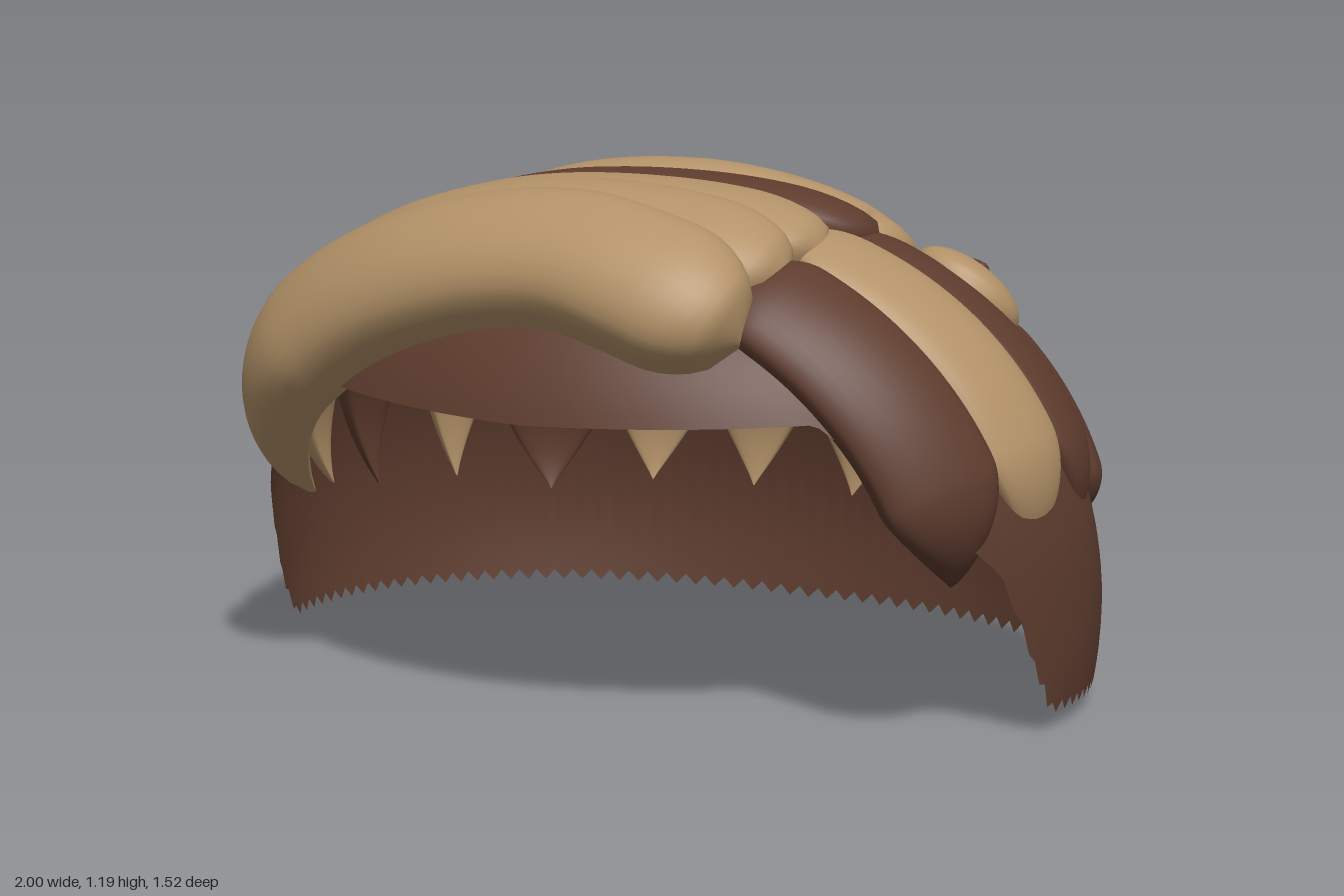
import * as THREE from 'three';

const N = 2.3, RZ = 0.76, H = 0.86, CY = 0.3, LEAN = 0.16;

// Level of the skull dome at a point: 1 on its surface
function level(p) {
  const u = (p.y - CY) / H;
  const rho = Math.hypot(p.x, (p.z - LEAN * Math.max(u, 0)) / RZ);
  return Math.pow(Math.pow(rho, N) + Math.pow(Math.abs(u), N), 1 / N);
}

// Push a point radially on to the dome
function onDome(p) {
  const k = 1 / level(p);
  return new THREE.Vector3(p.x * k, CY + (p.y - CY) * k, p.z * k);
}

function domeNormal(p) {
  const d = 0.01, g = [];
  for (const axis of ['x', 'y', 'z']) {
    const a = p.clone(), b = p.clone();
    a[axis] += d;
    b[axis] -= d;
    g.push(level(a) - level(b));
  }
  return new THREE.Vector3(...g).normalize();
}

function gridGeometry(positions, index) {
  const geo = new THREE.BufferGeometry();
  geo.setAttribute('position', new THREE.Float32BufferAttribute(positions, 3));
  geo.setIndex(index);
  geo.computeVertexNormals();
  return geo;
}

// Height of the cap's rim by angle from the front, in degrees
const RIM = [[0, 0.765], [43, 0.785], [66, 0.46], [73, 0.22], [79, 0.1], [180, 0.055]];
function rimHeight(deg) {
  let i = 1;
  while (i < RIM.length - 1 && deg > RIM[i][0]) i++;
  const [a, ya] = RIM[i - 1], [b, yb] = RIM[i];
  return ya + (yb - ya) * (deg - a) / (b - a);
}

// Open dome with a face opening and a finely notched rim
function capGeometry() {
  const cols = 240, rows = 28, pos = [], idx = [];
  for (let i = 0; i < cols; i++) {
    const a = (i / cols) * Math.PI * 2;
    const deg = Math.min(i, cols - i) / cols * 360;
    const y0 = rimHeight(deg) + (deg > 66 && i % 2 ? 0.025 : 0);
    const u0 = (y0 - CY) / H;
    const e0 = Math.asin(Math.sign(u0) * Math.pow(Math.abs(u0), N / 2));
    for (let j = 0; j <= rows; j++) {
      const e = e0 + (Math.PI / 2 - e0) * (j / rows);
      const u = Math.sign(e) * Math.pow(Math.abs(Math.sin(e)), 2 / N);
      const r = Math.pow(Math.max(Math.cos(e), 0), 2 / N);
      pos.push(r * Math.sin(a), CY + H * u, RZ * r * Math.cos(a) + LEAN * Math.max(u, 0));
      if (j < rows) {
        const p = i * (rows + 1) + j, q = ((i + 1) % cols) * (rows + 1) + j;
        idx.push(p, q, p + 1, q, q + 1, p + 1);
      }
    }
  }
  return gridGeometry(pos, idx);
}

// Plump lock of hair lying on the dome, its tip curling in through the cap
function lockGeometry(points, halfWidth, thick) {
  const curve = new THREE.CatmullRomCurve3(points.map(p => onDome(new THREE.Vector3(...p))));
  const rings = 56, sides = 32, pos = [], idx = [];
  for (let i = 0; i <= rings; i++) {
    const s = i / rings;
    const c = onDome(curve.getPointAt(s));
    const n = domeNormal(c);
    const side = n.clone().cross(curve.getTangentAt(s)).normalize();
    const k = Math.max(0, (s - 0.7) / 0.3);
    let size = 1 - Math.pow(k, 1.5);
    if (s < 0.12) size = Math.sqrt(Math.max(1 - Math.pow(1 - s / 0.12, 2), 0));
    size = Math.max(size, 0.01);
    for (let j = 0; j < sides; j++) {
      const t = (j / sides) * Math.PI * 2, sn = Math.sin(t);
      const base = onDome(c.clone().addScaledVector(side, Math.cos(t) * halfWidth * size));
      const depth = sn > 0 ? thick * Math.sqrt(size) : 0.05 * size;
      const bulge = Math.sign(sn) * Math.pow(Math.abs(sn), 0.62) * depth;
      base.addScaledVector(domeNormal(base), bulge - 0.1 * k * k);
      pos.push(base.x, base.y, base.z);
      if (i < rings) {
        const a = i * sides + j, b = i * sides + (j + 1) % sides;
        idx.push(a, b, a + sides, b, b + sides, a + sides);
      }
    }
  }
  return gridGeometry(pos, idx);
}

export function createModel() {
  const light = new THREE.MeshStandardMaterial({ color: 0xb39268 });
  light.name = 'light brown hair';
  const dark = new THREE.MeshStandardMaterial({ color: 0x5e3c2e, side: THREE.DoubleSide });
  dark.name = 'dark brown hair';

  const model = new THREE.Group();
  model.name = 'hairpiece';
  const cap = new THREE.Mesh(capGeometry(), dark);
  cap.name = 'hairCap';
  model.add(cap);

  // Each lock: colour, half width, thickness, path from root to tip
  const sets = {
    // swept across the top and down the model's right side, front to back
    topLock: [
      [light, 0.155, 0.17, [[0.43, 0.94, 0.58], [0.22, 1.04, 0.59], [0, 1.08, 0.57], [-0.4, 0.99, 0.55],
        [-0.66, 0.82, 0.5], [-0.77, 0.64, 0.46], [-0.8, 0.47, 0.42]]],
      [light, 0.15, 0.11, [[0.46, 1.04, 0.42], [0, 1.13, 0.42], [-0.45, 1.04, 0.39],
        [-0.78, 0.8, 0.34], [-0.9, 0.45, 0.28]]],
      [light, 0.15, 0.085, [[0.47, 1.07, 0.25], [0, 1.16, 0.28], [-0.45, 1.06, 0.25],
        [-0.8, 0.8, 0.16], [-0.94, 0.43, 0.09]]],
      [dark, 0.14, 0.08, [[0.48, 1.05, -0.02], [0.25, 1.12, 0.05], [0, 1.15, 0.09], [-0.45, 1.06, 0.05],
        [-0.8, 0.8, -0.05], [-0.94, 0.4, -0.13]]],
      [light, 0.145, 0.115, [[0.45, 0.98, -0.27], [0.33, 1.02, -0.29], [0.18, 1.08, -0.21], [0, 1.1, -0.13],
        [-0.3, 1.08, -0.12], [-0.6, 0.94, -0.22], [-0.77, 0.75, -0.31], [-0.87, 0.4, -0.38]]],
    ],
    // hanging down the back
    backLock: [
      [dark, 0.15, 0.06, [[-0.42, 1.03, -0.2], [-0.54, 0.85, -0.42], [-0.64, 0.6, -0.54], [-0.66, 0.35, -0.57]]],
      [light, 0.15, 0.07, [[-0.2, 1.08, -0.16], [-0.3, 0.95, -0.42], [-0.38, 0.65, -0.64], [-0.4, 0.38, -0.69]]],
      [light, 0.15, 0.075, [[0.02, 1.08, -0.14], [-0.04, 0.95, -0.42], [-0.11, 0.65, -0.7], [-0.12, 0.38, -0.76]]],
      [light, 0.15, 0.07, [[0.3, 1.05, -0.16], [0.25, 0.95, -0.42], [0.19, 0.65, -0.7], [0.18, 0.38, -0.75]]],
      [light, 0.14, 0.09, [[0.69, 0.97, -0.03], [0.64, 0.97, -0.2], [0.54, 0.9, -0.42],
        [0.47, 0.68, -0.61], [0.43, 0.37, -0.68]]],
    ],
    // hanging down the model's left side, front to back
    sideLock: [
      [dark, 0.145, 0.06, [[0.38, 1.04, 0.46], [0.62, 0.92, 0.47], [0.78, 0.72, 0.44], [0.87, 0.4, 0.37]]],
      [light, 0.135, 0.042, [[0.38, 1.09, 0.21], [0.7, 0.95, 0.21], [0.86, 0.72, 0.19], [0.94, 0.42, 0.16]]],
      [dark, 0.14, 0.042, [[0.42, 1.06, -0.01], [0.7, 0.95, -0.02], [0.88, 0.72, -0.06], [0.96, 0.42, -0.1]]],
      [dark, 0.125, 0.05, [[0.72, 0.91, -0.22], [0.82, 0.78, -0.25], [0.9, 0.6, -0.28], [0.92, 0.42, -0.3]]],
    ],
    // small dark flecks just proud of the light locks
    fleck: [
      [dark, 0.06, 0.122, [[-0.4, 1.04, -0.14], [-0.48, 1, -0.16], [-0.58, 0.94, -0.2]]],
      [dark, 0.03, 0.097, [[0.65, 0.96, -0.12], [0.62, 0.96, -0.16], [0.58, 0.96, -0.22]]],
    ],
  };
  for (const [name, locks] of Object.entries(sets)) {
    locks.forEach(([material, width, thick, path], i) => {
      const mesh = new THREE.Mesh(lockGeometry(path, width, thick), material);
      mesh.name = name + (i + 1);
      model.add(mesh);
    });
  }
  return model;
}
